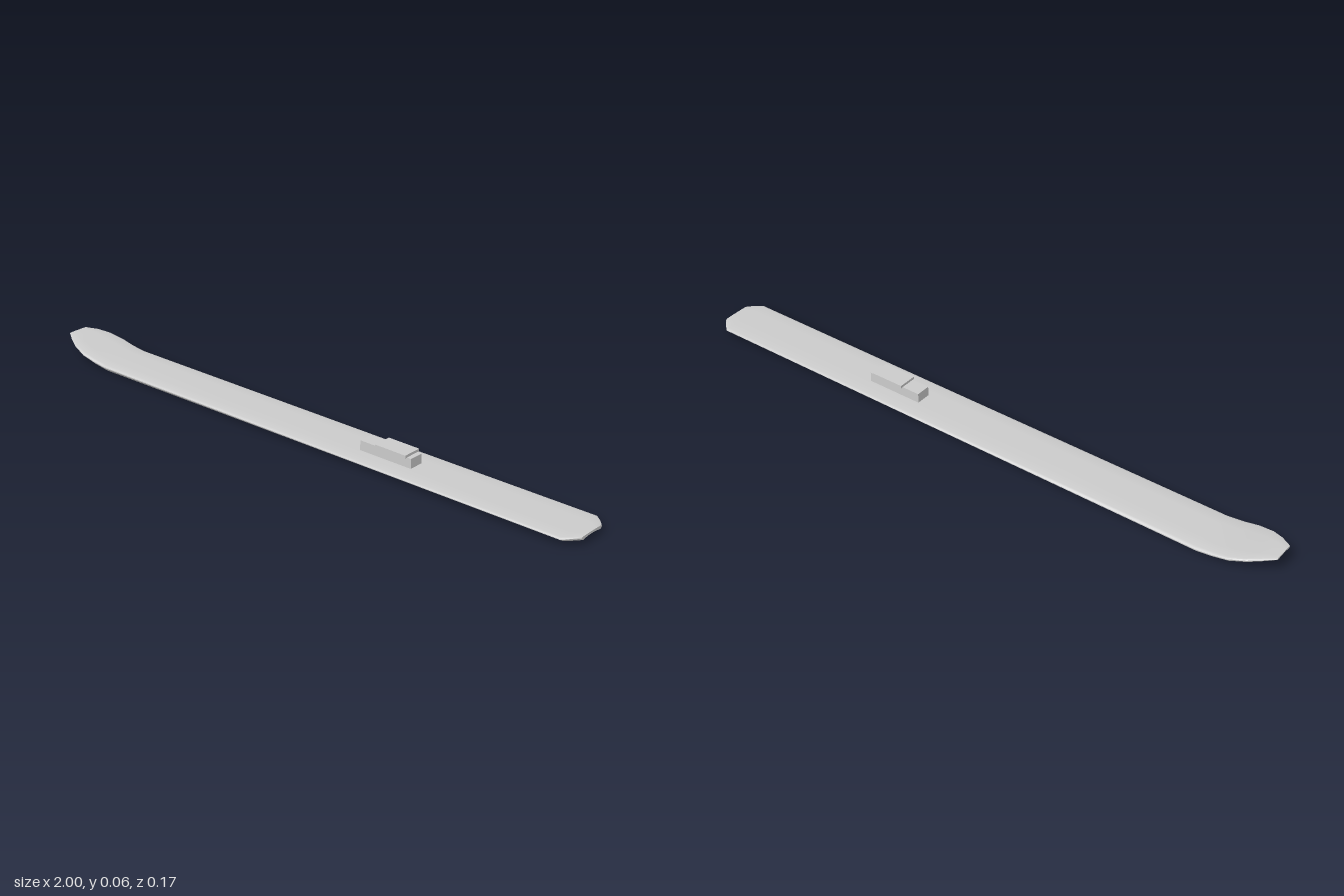
import * as THREE from 'three';
import { toCreasedNormals } from 'three/addons/utils/BufferGeometryUtils.js';

const grey = new THREE.MeshStandardMaterial({ color: 0xcccccc });

// Stations along the ski: x, half width, bottom height, thickness
const STATIONS = [
  [-1.0, 0.035, 0.053, 0.006],
  [-0.965, 0.058, 0.044, 0.012],
  [-0.93, 0.075, 0.033, 0.016],
  [-0.88, 0.087, 0.018, 0.019],
  [-0.83, 0.087, 0.007, 0.02],
  [-0.78, 0.087, 0.0, 0.021],
  [-0.3, 0.087, 0.004, 0.018],
  [0.3, 0.087, 0.009, 0.014],
  [0.96, 0.087, 0.013, 0.013],
  [0.985, 0.065, 0.015, 0.012],
  [1.0, 0.047, 0.016, 0.011],
];

// Half of the cross-section, top centre to hollow underside: width and height fractions
const HALF = [[0, 1], [0.5, 0.99], [0.9, 0.95], [0.97, 0.86], [1, 0.7], [1, 0.55], [0.87, 0], [0.4, 0.3]];
const SECTION = [...HALF, [0, 0.4], ...HALF.slice(1).reverse().map(([w, h]) => [-w, h])];

function skiGeometry() {
  const n = SECTION.length, positions = [], index = [];
  for (const [x, half, bottom, thick] of STATIONS)
    for (const [w, h] of SECTION) positions.push(x, bottom + h * thick, w * half);
  const last = (STATIONS.length - 1) * n;
  for (let i = 0; i < last; i += n)
    for (let j = 0; j < n; j++) {
      const a = i + j, b = i + (j + 1) % n;
      index.push(a, b, a + n, b, b + n, a + n);
    }
  // End caps
  for (let j = 1; j < n - 1; j++) index.push(0, j + 1, j, last, last + j, last + j + 1);
  const geometry = new THREE.BufferGeometry();
  geometry.setAttribute('position', new THREE.Float32BufferAttribute(positions, 3));
  geometry.setIndex(index);
  return toCreasedNormals(geometry, 0.6);
}

// Box given by its limits in x and y and its half depth
function block(name, x0, x1, y0, y1, halfZ) {
  const mesh = new THREE.Mesh(new THREE.BoxGeometry(x1 - x0, y1 - y0, 2 * halfZ), grey);
  mesh.position.set((x0 + x1) / 2, (y0 + y1) / 2, 0);
  mesh.name = name;
  return mesh;
}

export function createModel() {
  const model = new THREE.Group();
  model.name = 'ski';

  const blade = new THREE.Mesh(skiGeometry(), grey);
  blade.name = 'skiBlade';

  // Binding: a base block with a wider plate on top
  const binding = new THREE.Group();
  binding.name = 'binding';
  binding.add(
    block('bindingBase', 0.23, 0.415, 0.015, 0.054, 0.024),
    block('bindingPlate', 0.29, 0.4, 0.053, 0.062, 0.031),
  );

  model.add(blade, binding);
  return model;
}
